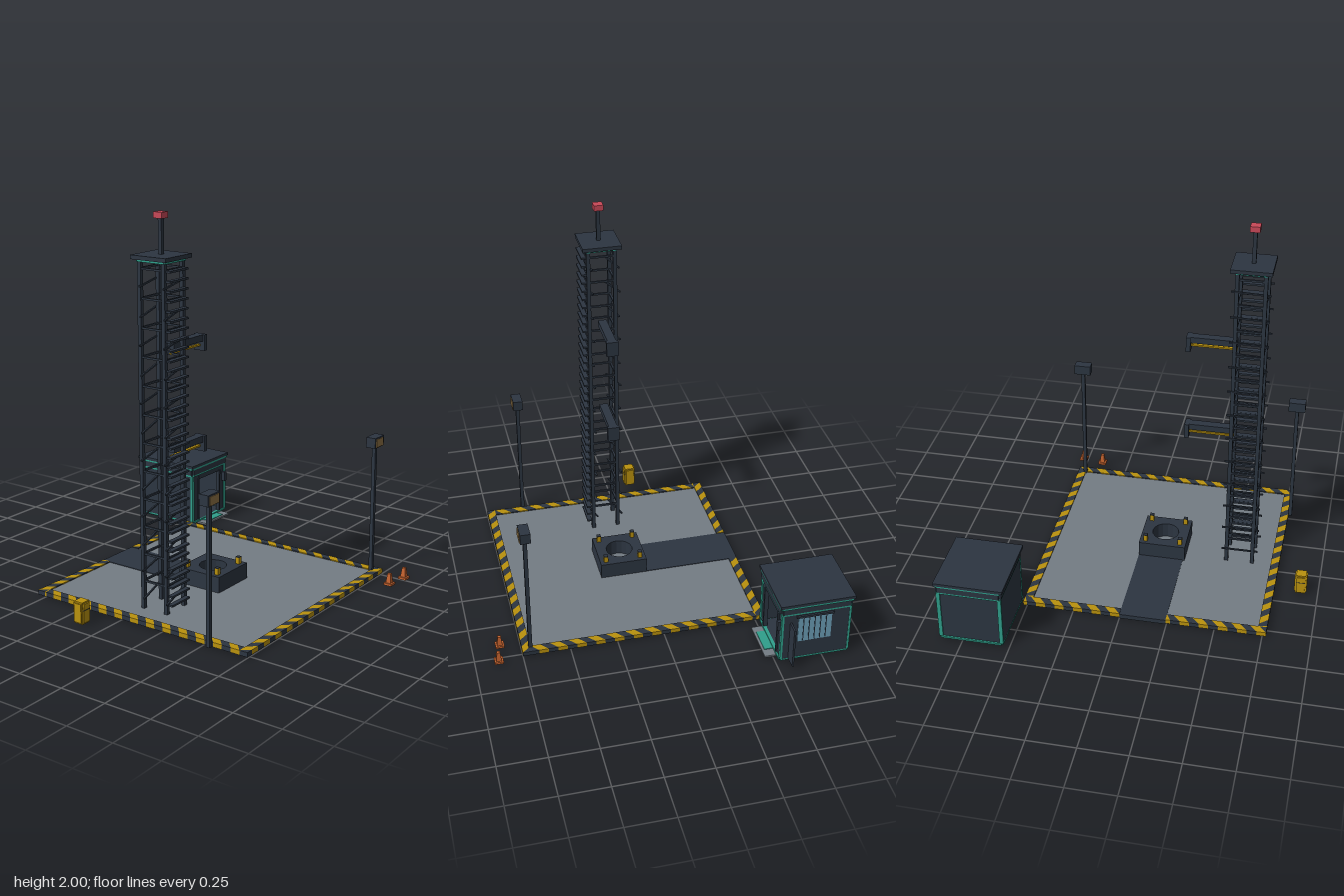
import * as THREE from 'three';

const mat = (name, color) => {
  const m = new THREE.MeshStandardMaterial({ color });
  m.name = name;
  return m;
};

export function createModel() {
  const dark = mat('dark steel', 0x2c3541);
  const grey = mat('concrete', 0x747c84);
  const yellow = mat('safety yellow', 0xba920e);
  const teal = mat('teal trim', 0x2f9f8b);
  const glass = mat('window blue', 0x6c9fb8);
  const red = mat('beacon red', 0xc84858);
  const orange = mat('cone orange', 0xc4622e);
  const tan = mat('lamp glow', 0x8c7044);
  const root = new THREE.Group();
  root.name = 'launchPad';

  const group = (name, x = 0, z = 0) => {
    const g = new THREE.Group();
    g.name = name;
    g.position.set(x, 0, z);
    root.add(g);
    return g;
  };
  const add = (parent, name, geo, m) => {
    const mesh = new THREE.Mesh(geo, m);
    mesh.name = name;
    parent.add(mesh);
    return mesh;
  };
  // Box given by its limits on each axis
  const box = (parent, name, m, x0, x1, y0, y1, z0, z1) => {
    const geo = new THREE.BoxGeometry(x1 - x0, y1 - y0, z1 - z0);
    geo.translate((x0 + x1) / 2, (y0 + y1) / 2, (z0 + z1) / 2);
    return add(parent, name, geo, m);
  };
  // Square bar between two points
  const bar = (parent, name, m, a, b, t) => {
    const p = new THREE.Vector3(...a), q = new THREE.Vector3(...b);
    const mesh = add(parent, name, new THREE.BoxGeometry(t, t, p.distanceTo(q)), m);
    mesh.position.copy(p).add(q).multiplyScalar(0.5);
    mesh.lookAt(q);
    return mesh;
  };
  // Four bars forming a rectangular ring around the origin
  const ring = (parent, name, m, hx, hz, y0, y1, t) => {
    for (const s of [-1, 1]) {
      box(parent, name, m, -hx, hx, y0, y1, s * hz - t / 2, s * hz + t / 2);
      box(parent, name, m, s * hx - t / 2, s * hx + t / 2, y0, y1, -hz, hz);
    }
  };

  // Pad and flame trench
  const pad = group('pad');
  box(pad, 'padSlab', grey, -0.765, 0.515, 0.002, 0.022, -0.545, 0.745);
  box(pad, 'flameTrench', dark, -0.245, 0, 0, 0.025, -0.552, 0.0);

  // Hazard border made of slanted blocks
  const hazard = (length, x, z, turn) => {
    const strip = group('hazardBorder', x, z);
    strip.rotation.y = turn;
    const h = length / 2, w = 0.0225, step = 0.05, lean = 0.04;
    const clamp = (u) => Math.min(h, Math.max(-h, u));
    for (let i = -1; i * step < length; i++) {
      const u = -h + i * step;
      const pts = [[u, -w], [u + step, -w], [u + step + lean, w], [u + lean, w]]
        .map(([a, b]) => new THREE.Vector2(clamp(a), b));
      if (pts[2].x - pts[0].x < 0.001) continue;
      const geo = new THREE.ExtrudeGeometry(new THREE.Shape(pts), { depth: 0.024, bevelEnabled: false });
      geo.rotateX(Math.PI / 2).translate(0, 0.028, 0);
      add(strip, 'hazardBlock', geo, i % 2 ? dark : yellow);
    }
  };
  hazard(1.29, -0.125, 0.7275, 0);
  hazard(0.525, -0.5075, -0.5275, 0);
  hazard(0.52, 0.26, -0.5275, 0);
  hazard(1.21, -0.7475, 0.1, Math.PI / 2);
  hazard(1.21, 0.4975, 0.1, Math.PI / 2);

  // Launch table with a round opening and four hold-down clamps
  const table = group('launchTable', -0.127, 0.097);
  const top = new THREE.Shape();
  top.moveTo(-0.128, -0.128).lineTo(0.128, -0.128).lineTo(0.128, 0.128).lineTo(-0.128, 0.128).closePath();
  const hole = new THREE.Path();
  hole.absarc(0, 0, 0.073, 0, Math.PI * 2, true);
  top.holes.push(hole);
  const tableGeo = new THREE.ExtrudeGeometry(top, { depth: 0.105, bevelEnabled: false, curveSegments: 8 });
  tableGeo.rotateX(Math.PI / 2).translate(0, 0.108, 0);
  add(table, 'tableBlock', tableGeo, dark);
  for (const sx of [-1, 1]) for (const sz of [-1, 1]) {
    const x = sx * 0.096, z = sz * 0.096;
    box(table, 'clamp', yellow, x - 0.011, x + 0.011, 0.1, 0.142, z - 0.011, z + 0.011);
    box(table, 'clampCap', dark, x - 0.011, x + 0.011, 0.142, 0.146, z - 0.011, z + 0.011);
  }

  // Lattice tower
  const tower = group('tower', -0.55, 0.098);
  const r = 0.071, bays = 12, y0 = 0.025, bay = 0.1425;
  for (const sx of [-1, 1]) for (const sz of [-1, 1])
    box(tower, 'towerLeg', dark, sx * r - 0.01, sx * r + 0.01, 0.003, 1.775, sz * r - 0.01, sz * r + 0.01);
  for (let i = 0; i < bays; i++) {
    const a = y0 + i * bay, b = a + bay, s = i % 2 ? 1 : -1;
    ring(tower, 'towerBrace', dark, r, r, b - 0.005, b + 0.005, 0.01);
    for (const z of [-r, r]) bar(tower, 'towerDiagonal', dark, [-s * r, a, z], [s * r, b, z], 0.008);
  }
  // Ladder rungs on the front of the tower
  for (let y = 0.07; y < 1.76; y += 0.0475)
    box(tower, 'ladderRung', dark, -0.072, 0.072, y - 0.005, y + 0.005, 0.081, 0.107);
  // Tower head, mast and beacon
  box(tower, 'topPlatform', dark, -0.104, 0.104, 1.78, 1.8, -0.104, 0.104);
  ring(tower, 'platformTrim', teal, 0.08, 0.08, 1.768, 1.78, 0.014);
  box(tower, 'mast', dark, -0.01, 0.01, 1.8, 1.972, -0.01, 0.01);
  box(tower, 'beacon', red, -0.025, 0.025, 1.97, 2, -0.025, 0.025);

  // Two service arms
  for (const y of [0.843, 1.363]) {
    const arm = group('serviceArm', 0, 0.098);
    arm.position.y = y;
    box(arm, 'armBeam', dark, -0.485, -0.235, -0.033, 0, -0.023, 0.023);
    box(arm, 'armPipe', yellow, -0.485, -0.24, -0.058, -0.049, -0.008, 0.008);
    box(arm, 'armEnd', dark, -0.247, -0.224, -0.081, 0, -0.032, 0.032);
  }

  // Floodlights
  for (const [x, z] of [[-0.778, 0.538], [0.476, 0.705]]) {
    const light = group('floodlight', x, z);
    box(light, 'lightPole', dark, -0.01, 0.01, 0.003, 0.72, -0.01, 0.01);
    box(light, 'lightHead', dark, -0.046, 0.046, 0.715, 0.77, -0.025, 0.028);
    box(light, 'lightPanel', tan, -0.036, 0.036, 0.718, 0.762, 0.028, 0.032);
  }

  // Control booth: floor, walls with a doorway, roof
  const booth = group('controlBooth', 0.7, -0.705);
  const hx = 0.16, hz = 0.18;
  box(booth, 'boothFloor', dark, -hx, hx, 0.006, 0.022, -hz, hz);
  box(booth, 'backWall', dark, -hx, hx, 0.02, 0.35, -hz, -hz + 0.015);
  for (const s of [-1, 1]) {
    box(booth, 'sideWall', dark, s * hx - 0.008, s * hx + 0.008, 0.02, 0.35, -hz, hz);
    box(booth, 'frontWall', dark, s * 0.13 - 0.03, s * 0.13 + 0.03, 0.02, 0.35, hz - 0.015, hz);
    box(booth, 'doorFrame', dark, s * 0.105 - 0.006, s * 0.105 + 0.006, 0.02, 0.275, hz - 0.01, hz + 0.008);
    for (const z of [-hz, hz])
      box(booth, 'cornerTrim', teal, s * hx - 0.01, s * hx + 0.01, 0.02, 0.3, z - 0.006, z + 0.006);
  }
  box(booth, 'doorHeader', dark, -0.1, 0.1, 0.27, 0.35, hz - 0.015, hz + 0.004);
  ring(booth, 'baseTrim', teal, hx, hz, 0.012, 0.022, 0.018);
  ring(booth, 'upperTrim', teal, hx, hz, 0.298, 0.308, 0.02);
  ring(booth, 'fascia', dark, hx, hz, 0.308, 0.34, 0.024);
  ring(booth, 'roofTrim', teal, hx + 0.011, hz + 0.009, 0.342, 0.355, 0.014);
  box(booth, 'roof', dark, -0.183, 0.178, 0.352, 0.368, -0.2, 0.197);

  // Side window with bars
  box(booth, 'sideWindow', glass, 0.167, 0.172, 0.125, 0.28, -0.08, 0.098);
  for (let i = 0; i < 5; i++) {
    const z = -0.05 + i * 0.03;
    box(booth, 'windowBar', dark, 0.17, 0.175, 0.13, 0.275, z - 0.002, z + 0.002);
  }
  box(booth, 'windowHead', dark, 0.166, 0.178, 0.278, 0.29, -0.09, 0.108);

  // Console and screens behind the doorway
  box(booth, 'console', dark, -0.09, 0.11, 0.02, 0.11, -0.13, -0.02);
  box(booth, 'tealScreen', teal, -0.07, 0.005, 0.115, 0.18, -0.09, -0.082);
  box(booth, 'blueScreen', glass, 0.008, 0.095, 0.115, 0.18, -0.09, -0.082);

  // Open door, door step and mat
  box(booth, 'openDoor', dark, 0.16, 0.235, 0.02, 0.25, 0.131, 0.141);
  box(booth, 'wallLamp', dark, 0.135, 0.155, 0.2, 0.255, 0.18, 0.202);
  box(booth, 'doorStep', grey, -0.115, 0.12, 0.002, 0.012, 0.18, 0.248);
  box(booth, 'doorMat', teal, -0.07, 0.07, 0.012, 0.016, 0.18, 0.235);

  // Power cabinet with raised panels on each side
  const cabinet = group('powerCabinet', -0.906, -0.138);
  box(cabinet, 'cabinetBody', yellow, -0.026, 0.026, 0.004, 0.118, -0.026, 0.026);
  box(cabinet, 'cabinetPanel', yellow, -0.033, 0.033, 0.012, 0.11, -0.022, 0.022);
  box(cabinet, 'cabinetPanel', yellow, -0.022, 0.022, 0.012, 0.11, -0.033, 0.033);
  box(cabinet, 'cabinetSeam', dark, -0.023, 0.023, 0.075, 0.078, -0.034, 0.034);

  // Traffic cones
  for (const [x, z] of [[0.405, 0.855], [0.525, 0.877]]) {
    const cone = group('trafficCone', x, z);
    box(cone, 'coneBase', orange, -0.023, 0.023, 0, 0.012, -0.023, 0.023);
    const geo = new THREE.CylinderGeometry(0.012, 0.02, 0.05, 4).toNonIndexed();
    geo.rotateY(Math.PI / 4).translate(0, 0.037, 0);
    geo.computeVertexNormals();
    add(cone, 'coneBody', geo, orange);
  }
  return root;
}
